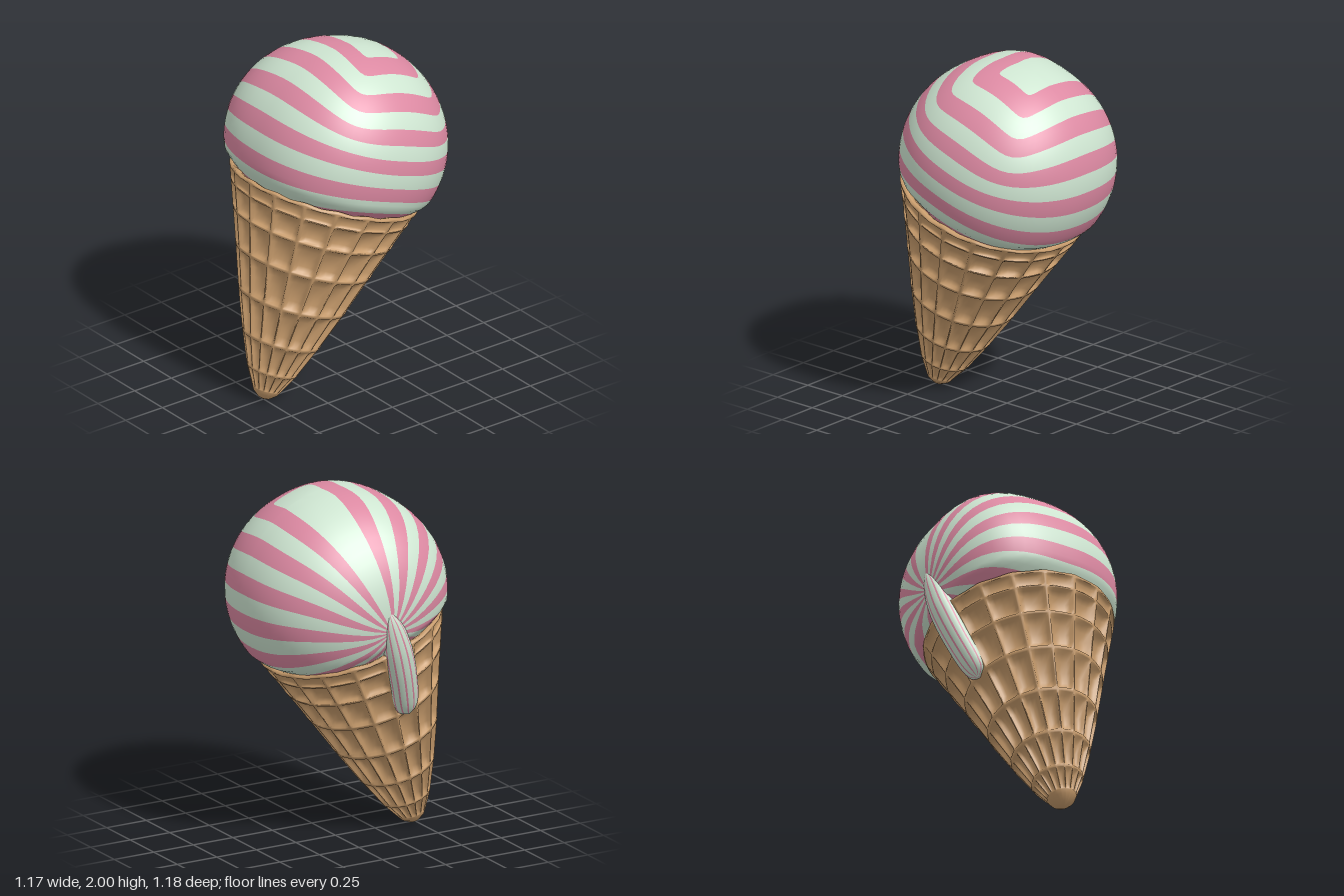
import * as THREE from 'three';
import { mergeVertices } from 'three/addons/utils/BufferGeometryUtils.js';

const { sin, cos, abs, atan2, hypot, max, min, floor, PI } = Math;
const mat = (name, color, side = THREE.FrontSide) => {
  const m = new THREE.MeshStandardMaterial({ color, side });
  m.name = name;
  return m;
};
const mint = mat('mint', 0xcee5d1);
const pink = mat('pink', 0xdc89a2);
const waffle = mat('waffle', 0xc99d6d, THREE.DoubleSide);

// Smooth surface over rows x cols quads; pick(i, j) gives the material index
function surface(name, rows, cols, point, materials, pick = () => 0) {
  const pos = [];
  const faces = materials.map(() => []);
  for (let i = 0; i <= rows; i++) {
    for (let j = 0; j <= cols; j++) pos.push(...point(i, j));
  }
  for (let i = 0; i < rows; i++) {
    for (let j = 0; j < cols; j++) {
      const a = i * (cols + 1) + j, b = a + cols + 1;
      faces[pick(i, j)].push(a, b, a + 1, b, b + 1, a + 1);
    }
  }
  let geo = new THREE.BufferGeometry();
  geo.setAttribute('position', new THREE.Float32BufferAttribute(pos, 3));
  geo.setIndex(faces.flat());
  let start = 0;
  faces.forEach((f, k) => { geo.addGroup(start, f.length, k); start += f.length; });
  geo = mergeVertices(geo, 1e-5);
  geo.computeVertexNormals();
  const mesh = new THREE.Mesh(geo, materials);
  mesh.name = name;
  return mesh;
}

// Scoop: stripes loop round one side and gather at a pinch on the other
function scoop() {
  const R = 0.578, SUB = 3;
  const edges = [0];
  for (let k = 0; k < 16; k++) edges.push(12 + 10.7 * k);
  edges.push(180);
  const rows = (edges.length - 1) * SUB, SIDE = 16, FACE = 40;
  const cols = SIDE * 2 + FACE;
  const point = (i, j) => {
    const k = min(floor(i / SUB), edges.length - 2);
    const th = THREE.MathUtils.degToRad(THREE.MathUtils.lerp(edges[k], edges[k + 1], i / SUB - k));
    const v = new THREE.Vector3();
    if (j < SIDE || j > SIDE + FACE) {
      // half circles running to the pinch
      const front = j < SIDE;
      const t = (front ? 1 - j / SIDE : (j - SIDE - FACE) / SIDE) * PI / 2;
      v.set(-sin(t), cos(t) * cos(th) - 0.2 * sin(t) ** 6, cos(t) * sin(th) * (front ? 1 : -1));
    } else {
      // rounded-square loops that turn round towards the equator
      const a = PI / 2 - (j - SIDE) / FACE * PI;
      const n = 2 + 10 * max(0, cos(th)) ** 2;
      const N = ((0.74 * abs(cos(a))) ** n + abs(sin(a)) ** n) ** (1 / n);
      const p = atan2(sin(th), N * cos(th));
      v.set(sin(p) * cos(a), cos(p), sin(p) * sin(a));
    }
    v.normalize().multiplyScalar(R);
    // slightly square plan, fuller beside the pinch, tucked in below the rim
    const p = v.x < 0 && v.z > 0 ? 2.7 : 2.2;
    const flat = hypot(v.x, v.z);
    const square = flat > 1e-6 ? flat / (abs(v.x) ** p + abs(v.z) ** p) ** (1 / p) : 1;
    const tuck = 1 - 1.2 * max(0, -0.2 - v.y);
    return [v.x * square * tuck, v.y, v.z * square * tuck];
  };
  const mesh = surface('scoop', rows, cols, point, [mint, pink],
    (i) => floor(i / SUB) % 2);
  mesh.position.set(0.004, 1.508, -0.019);
  return mesh;
}

// Cone: ridged rings and ribs around sunken cells
function cone() {
  const RIBS = 18;
  const rings = [1.24, 1.165, 1.02, 0.825, 0.59, 0.36, 0.175, 0.06];
  const profile = [[0, 0], [0.012, 0.035], [0.04, 0.068], [0.16, 0.135], [0.35, 0.214],
    [0.55, 0.288], [0.73, 0.349], [0.9, 0.407], [1.27, 0.537]];
  const radius = (s) => {
    let k = 1;
    while (k < profile.length - 1 && s > profile[k][0]) k++;
    const [s0, r0] = profile[k - 1], [s1, r1] = profile[k];
    return r0 + (r1 - r0) * (s - s0) / (s1 - s0);
  };
  // position across a cell and how far it is sunk
  const cell = [[0, 0], [0.045, 0], [0.1, 0.5], [0.25, 0.85], [0.5, 1], [0.75, 0.85], [0.9, 0.5], [0.955, 0]];
  // inner lip, then the outside from rim to tip
  const rows = [[1.15, 0.42, 0], [1.25, 0.49, 0], [1.258, 0.515, 0], [1.25, 0.53, 0]];
  for (let k = 0; k < rings.length - 1; k++) {
    for (const [f, d] of cell) {
      const s = THREE.MathUtils.lerp(rings[k], rings[k + 1], f);
      const depth = k === 0 ? 0.022 : min(0.045, radius(s) * 0.16);
      rows.push([s, radius(s), d * depth]);
    }
  }
  for (const s of [0.06, 0.04, 0.012, 0]) rows.push([s, radius(s), 0]);
  const cols = RIBS * cell.length;
  return surface('waffleCone', rows.length - 1, cols, (i, j) => {
    const [s, r, d] = rows[i];
    const [f, sunk] = cell[j % cell.length];
    const a = (floor(j / cell.length) + f) / RIBS * PI * 2;
    const wave = i > 0 && i < 5 ? 0.004 * cos(a * RIBS) : 0;
    const rr = r - d * sunk;
    return [rr * sin(a), s + wave, rr * cos(a)];
  }, [waffle]);
}

// Drip: flattened tongue running down the cone from the pinch
function drip() {
  // height, outer reach, half width
  const path = new THREE.CatmullRomCurve3([
    [1.53, 0.565, 0], [1.43, 0.59, 0.055], [1.27, 0.588, 0.08], [1.15, 0.562, 0.084],
    [1.05, 0.53, 0.082], [0.9, 0.467, 0.075], [0.84, 0.428, 0.055], [0.805, 0.385, 0],
  ].map((p) => new THREE.Vector3(...p)));
  const rows = 28, cols = 48;
  return surface('drip', rows, cols, (i, j) => {
    const p = path.getPoint(i / rows), a = j / cols * PI * 2;
    const w = max(0, p.z), d = w * 0.9;
    return [-(p.y - d + d * cos(a)), p.x, w * sin(a)];
  }, [mint, pink], (i, j) => (j % 4 === 1 ? 1 : 0));
}

export function createModel() {
  const model = new THREE.Group();
  model.name = 'iceCream';
  // everything leans back from the tip
  const leaning = new THREE.Group();
  leaning.name = 'leaningCone';
  leaning.position.set(0, 0.004, 0.5);
  leaning.rotation.x = -0.333;
  leaning.add(scoop(), cone(), drip());
  model.add(leaning);
  return model;
}
